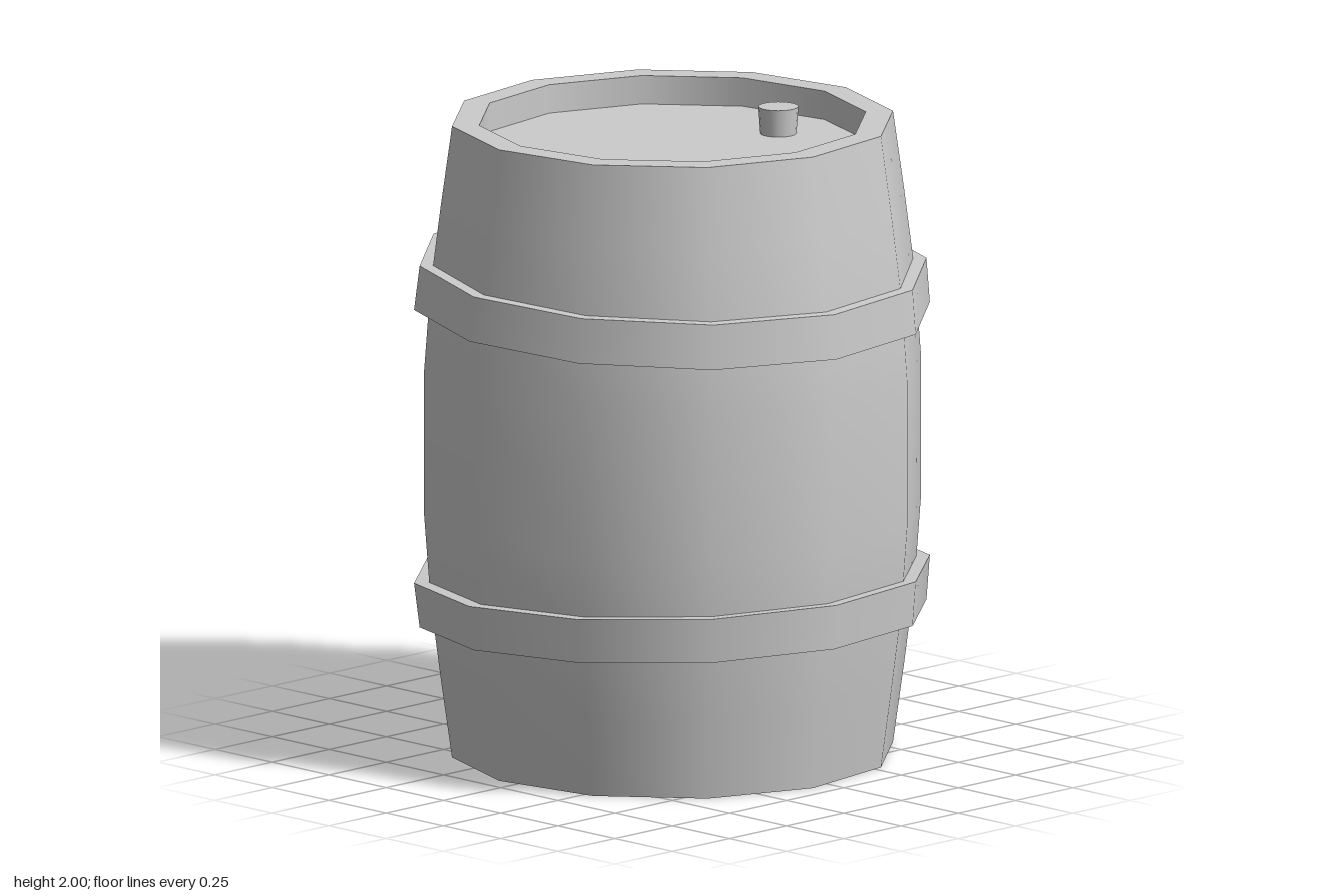
import * as THREE from 'three';

const SIDES = 12;
const PHASE = THREE.MathUtils.degToRad(24.1);
const material = new THREE.MeshStandardMaterial({ color: 0xcccccc });

// Revolves each strip on its own, so edges between strips stay sharp.
function turned(name, strips, sides = SIDES) {
  const part = new THREE.Group();
  part.name = name;
  for (const [label, points] of Object.entries(strips)) {
    const profile = points.map(([r, y]) => new THREE.Vector2(r, y));
    const mesh = new THREE.Mesh(new THREE.LatheGeometry(profile, sides, PHASE), material);
    mesh.name = label;
    part.add(mesh);
  }
  return part;
}

// Slightly conical metal band, tilted around the barrel.
function hoop(name, y, bottomRadius, topRadius, tilt) {
  const inner = 0.735, h = 0.07;
  const band = turned(name, {
    bandUnderside: [[inner, -h], [bottomRadius, -h]],
    bandFace: [[bottomRadius, -h], [topRadius, h]],
    bandTop: [[topRadius, h], [inner, h]],
  });
  band.position.y = y;
  band.rotation.z = tilt;
  return band;
}

export function createModel() {
  const model = new THREE.Group();
  model.name = 'barrel';

  // Bulging staves with recessed heads at both ends
  const rim = 0.69, mouth = 0.605, recess = 0.09;
  model.add(turned('body', {
    bottomHead: [[0, recess], [mouth, recess]],
    bottomWall: [[mouth, recess], [mouth, 0]],
    bottomRim: [[mouth, 0], [rim, 0]],
    staves: [[rim, 0], [0.725, 0.25], [0.757, 0.5], [0.777, 0.77],
      [0.777, 1.23], [0.757, 1.5], [0.725, 1.75], [rim, 2]],
    topRim: [[rim, 2], [mouth, 2]],
    topWall: [[mouth, 2], [mouth, 2 - recess]],
    lid: [[mouth, 2 - recess], [0, 2 - recess]],
  }));

  // Hoops mirror each other in taper and tilt
  model.add(hoop('upperHoop', 1.476, 0.807, 0.793, -0.034));
  model.add(hoop('lowerHoop', 0.502, 0.793, 0.807, 0.034));

  // Bung in the lid
  const bung = new THREE.Mesh(new THREE.CylinderGeometry(0.063, 0.056, 0.1, 16), material);
  bung.name = 'bung';
  bung.position.set(0.095, 1.945, -0.367);
  model.add(bung);

  return model;
}
